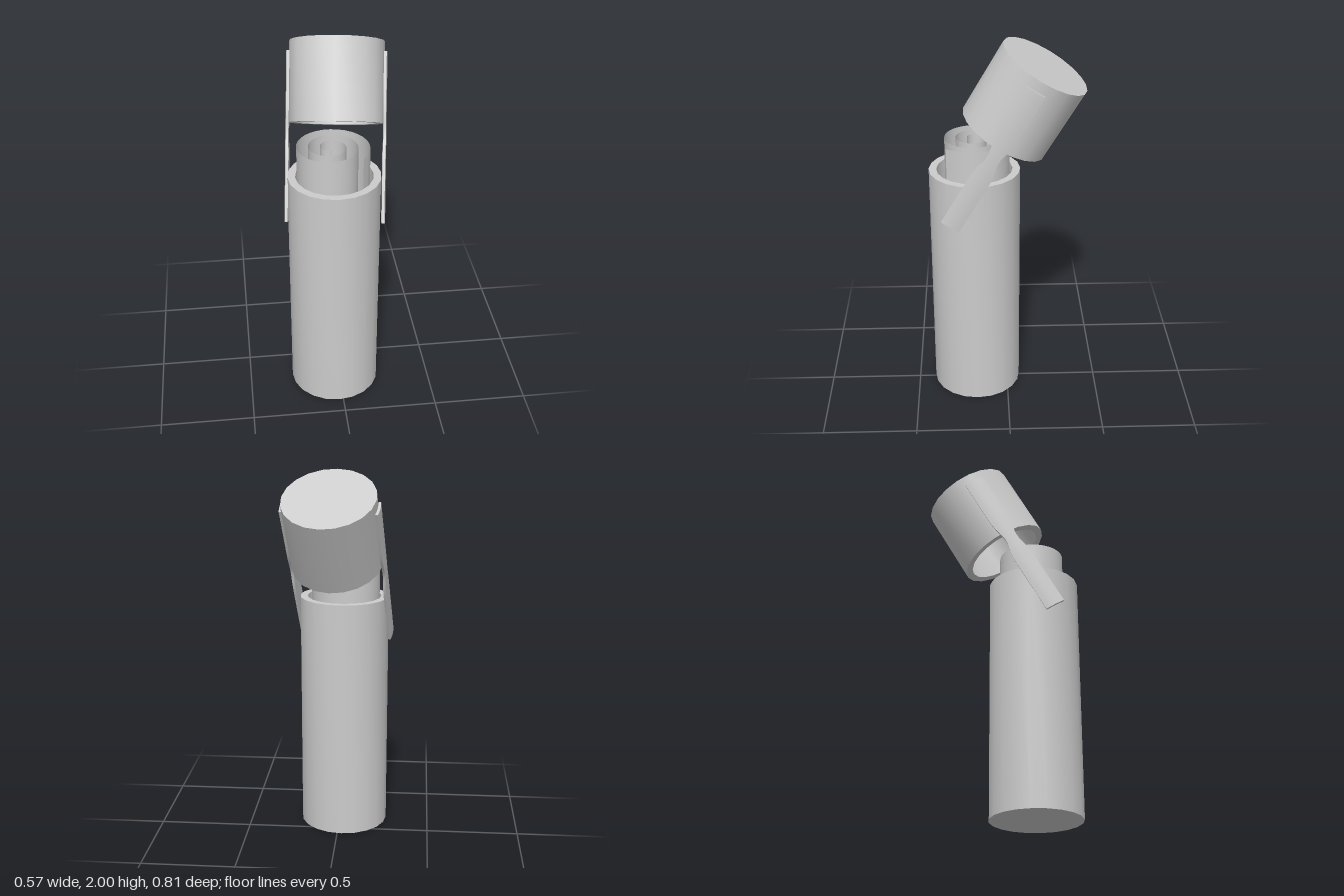
import * as THREE from 'three';
import { toCreasedNormals } from 'three/addons/utils/BufferGeometryUtils.js';

const SIDES = 20;
const grey = () => new THREE.MeshStandardMaterial({ color: 0xcccccc });

function part(name, geometry, material = grey()) {
  const mesh = new THREE.Mesh(geometry, material);
  mesh.name = name;
  return mesh;
}

// Turned part with crisp rims and smooth walls
function turned(profile) {
  const points = profile.map(([r, y]) => new THREE.Vector2(r, y));
  return toCreasedNormals(new THREE.LatheGeometry(points, SIDES), 0.7);
}

// Curved strap that hugs the cap wall and narrows to a neck
function strapGeometry() {
  const bottom = -0.506, top = 0.361;
  const geometry = new THREE.BoxGeometry(1, 1, 1, 1, 26, 6);
  const pos = geometry.attributes.position;
  for (let i = 0; i < pos.count; i++) {
    const y = THREE.MathUtils.lerp(bottom, top, pos.getY(i) + 0.5);
    const neck = Math.exp(-(((y + 0.05) / 0.07) ** 2));
    const angle = pos.getZ(i) * (0.105 - 0.04 * neck) / 0.25;
    const r = 0.25 + pos.getX(i) * 0.014;
    pos.setXYZ(i, r * Math.cos(angle), y, r * Math.sin(angle));
  }
  return toCreasedNormals(geometry, 0.7);
}

// Thin sheet rolled into a spiral, outer end at the front left
function scrollGeometry() {
  const low = 0.03, high = 1.47, turns = 2.9;
  const geometry = new THREE.PlaneGeometry(1, high - low, 90, 1);
  const pos = geometry.attributes.position;
  for (let i = 0; i < pos.count; i++) {
    const t = (pos.getX(i) + 0.5) * turns;
    const angle = 0.765 - t * Math.PI * 2;
    const r = 0.207 - 0.06 * t;
    pos.setXYZ(i, r * Math.cos(angle), pos.getY(i) + (low + high) / 2, r * Math.sin(angle));
  }
  geometry.computeVertexNormals();
  return geometry;
}

export function createModel() {
  const model = new THREE.Group();
  model.name = 'scrollCase';

  // Hollow tube
  const body = part('caseBody', turned([
    [0, 0], [0.24, 0], [0.24, 1.305], [0.2, 1.305], [0.2, 0.03], [0, 0.03],
  ]));
  body.position.set(-0.023, 0, 0.17);
  model.add(body);

  // Rolled sheet standing in the tube
  const sheet = grey();
  sheet.side = THREE.DoubleSide;
  const scroll = part('rolledScroll', scrollGeometry(), sheet);
  scroll.position.set(-0.044, 0, 0.17);
  model.add(scroll);

  // Tilted open cap with its two side straps
  const lid = new THREE.Group();
  lid.name = 'lid';
  lid.position.set(0.003, 1.52, 0.015);
  lid.rotation.set(-Math.PI / 6, -0.14, 0, 'YXZ');
  lid.add(part('cap', turned([
    [0, 0.385], [0.205, 0.385], [0.205, 0], [0.243, 0], [0.243, 0.415], [0, 0.415],
  ])));
  const strap = strapGeometry();
  for (const [name, turn] of [['leftStrap', 0], ['rightStrap', Math.PI]]) {
    const mesh = part(name, strap);
    mesh.rotation.y = turn;
    lid.add(mesh);
  }
  model.add(lid);

  return model;
}
